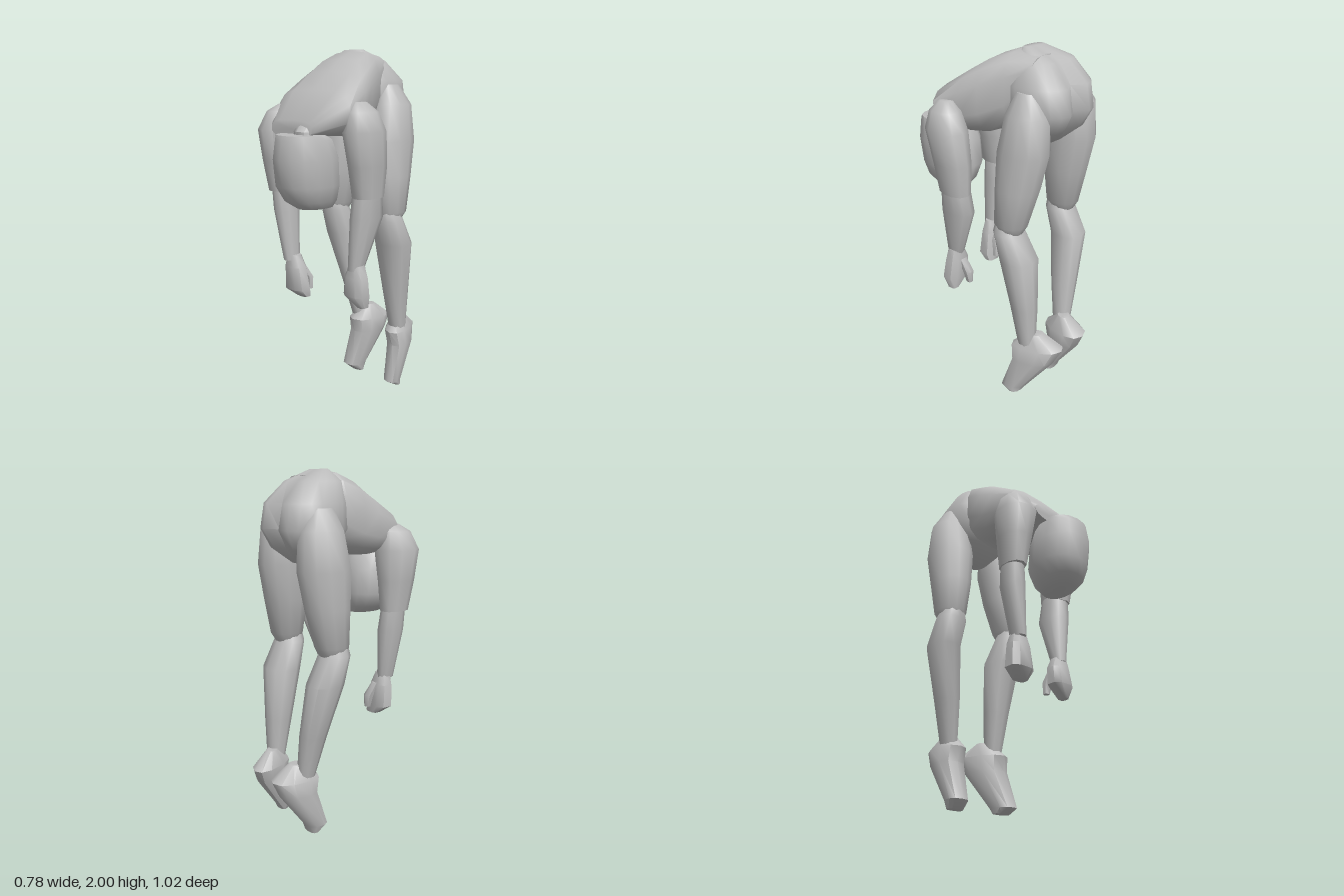
import * as THREE from 'three';
import { toCreasedNormals } from 'three/addons/utils/BufferGeometryUtils.js';

const skin = new THREE.MeshStandardMaterial({ color: 0xbcbcbc });
skin.name = 'plain grey';

// Skins a row of rounded cross-sections [x, y, z, halfWidth, halfDepth].
// Level sections run downwards; upright sections run towards +z.
function loft(name, sections, { sides = 10, power = 2.3, upright = false, crease = 0.9, shape = null } = {}) {
  const pos = [], index = [];
  const round = (v) => Math.sign(v) * Math.abs(v) ** (2 / power);
  for (const [x, y, z, a, b] of sections) {
    for (let j = 0; j < sides; j++) {
      const t = ((j + 0.5) / sides) * Math.PI * 2;
      const u = a * round(Math.cos(t)), v = b * round(Math.sin(t));
      const p = upright ? [x + u, y + v, z] : [x + u, y, z + v];
      if (shape) shape(p, u, v);
      pos.push(...p);
    }
  }
  const last = sections.length - 1, top = pos.length / 3;
  pos.push(...sections[0].slice(0, 3), ...sections[last].slice(0, 3));
  for (let j = 0; j < sides; j++) {
    const k = (j + 1) % sides;
    for (let i = 0; i < last; i++) {
      const p = i * sides + j, q = i * sides + k;
      index.push(p, q, p + sides, q, q + sides, p + sides);
    }
    index.push(top, k, j, top + 1, last * sides + j, last * sides + k);
  }
  const geo = new THREE.BufferGeometry();
  geo.setAttribute('position', new THREE.Float32BufferAttribute(pos, 3));
  geo.setIndex(index);
  const mesh = new THREE.Mesh(toCreasedNormals(geo, crease), skin);
  mesh.name = name;
  return mesh;
}

export function createModel() {
  const model = new THREE.Group();
  model.name = 'bending figure';
  const add = (...args) => model.add(loft(...args));

  // Chest and back, bent forward, with the left shoulder drawn back
  add('torso', [
    [-0.04, 1.87, -0.25, 0.12, 0.1],
    [-0.055, 1.795, -0.12, 0.205, 0.2],
    [-0.02, 1.745, 0, 0.24, 0.205],
    [0.005, 1.71, 0.1, 0.26, 0.175],
    [0.035, 1.67, 0.24, 0.268, 0.12],
    [0.005, 1.59, 0.37, 0.155, 0.045],
  ], { sides: 14, power: 3, upright: true, shape: (p, u) => { p[2] -= 0.07 * u; } });

  // Pelvis with a cleft between the two rear lobes
  add('pelvis', [
    [-0.07, 2.0, -0.15, 0.07, 0.03],
    [-0.09, 1.94, -0.2, 0.16, 0.135],
    [-0.08, 1.83, -0.245, 0.22, 0.195],
    [-0.08, 1.7, -0.25, 0.22, 0.217],
    [-0.08, 1.6, -0.26, 0.185, 0.15],
    [-0.08, 1.52, -0.26, 0.06, 0.06],
  ], {
    sides: 22, power: 2.4, crease: 1.1,
    shape: (p, u, v) => { if (v < 0) p[2] -= v * 0.3 * Math.exp(-((u / 0.05) ** 2)); },
  });

  // Neck and hanging head, crown downwards
  add('neck', [
    [0.07, 1.66, 0.24, 0.07, 0.07],
    [0.085, 1.58, 0.31, 0.065, 0.09],
    [0.08, 1.45, 0.3, 0.075, 0.08],
  ]);
  add('head', [
    [0.08, 1.565, 0.37, 0.135, 0.115],
    [0.08, 1.54, 0.35, 0.145, 0.145],
    [0.08, 1.44, 0.335, 0.158, 0.175],
    [0.075, 1.3, 0.32, 0.156, 0.172],
    [0.09, 1.22, 0.31, 0.12, 0.147],
    [0.105, 1.18, 0.295, 0.075, 0.105],
  ], { sides: 14, power: 2.25 });

  // Right arm
  add('right upper arm', [
    [-0.19, 1.71, 0.25, 0.03, 0.04],
    [-0.205, 1.67, 0.26, 0.075, 0.09],
    [-0.21, 1.57, 0.275, 0.108, 0.125],
    [-0.215, 1.4, 0.27, 0.085, 0.105],
    [-0.215, 1.23, 0.26, 0.06, 0.085],
  ]);
  add('right forearm', [
    [-0.215, 1.26, 0.255, 0.055, 0.07],
    [-0.205, 1.12, 0.245, 0.06, 0.075],
    [-0.165, 0.83, 0.245, 0.033, 0.05],
  ]);
  add('right hand', [
    [-0.155, 0.86, 0.235, 0.04, 0.035],
    [-0.15, 0.79, 0.23, 0.065, 0.05],
    [-0.14, 0.66, 0.225, 0.08, 0.058],
    [-0.115, 0.615, 0.2, 0.045, 0.03],
  ], { sides: 8, power: 2.8 });
  add('right thumb', [
    [-0.14, 0.8, 0.2, 0.025, 0.025],
    [-0.12, 0.72, 0.16, 0.03, 0.025],
    [-0.11, 0.65, 0.16, 0.018, 0.018],
  ], { sides: 6 });

  // Left arm
  add('left upper arm', [
    [0.28, 1.73, 0.14, 0.03, 0.04],
    [0.295, 1.68, 0.135, 0.07, 0.09],
    [0.3, 1.58, 0.125, 0.092, 0.125],
    [0.295, 1.4, 0.095, 0.08, 0.115],
    [0.29, 1.23, 0.085, 0.065, 0.095],
  ]);
  add('left forearm', [
    [0.285, 1.26, 0.085, 0.065, 0.085],
    [0.275, 1.12, 0.08, 0.068, 0.1],
    [0.25, 0.83, 0.135, 0.038, 0.045],
  ]);
  add('left hand', [
    [0.255, 0.86, 0.13, 0.04, 0.04],
    [0.25, 0.79, 0.13, 0.068, 0.05],
    [0.257, 0.69, 0.135, 0.077, 0.055],
    [0.295, 0.625, 0.12, 0.025, 0.03],
  ], { sides: 8, power: 2.8 });
  add('left thumb', [
    [0.24, 0.8, 0.1, 0.025, 0.025],
    [0.23, 0.72, 0.06, 0.03, 0.025],
    [0.22, 0.65, 0.06, 0.018, 0.018],
  ], { sides: 6 });

  // Legs: each pair holds the right and left centre in x, or half width
  for (const [s, side] of ['right', 'left'].entries()) {
    const at = (xs, y, z, widths, depth) => [xs[s], y, z, widths[s], depth];
    add(`${side} thigh`, [
      at([-0.25, 0.1], 1.81, -0.26, [0.06, 0.05], 0.065),
      at([-0.26, 0.11], 1.7, -0.27, [0.112, 0.108], 0.12),
      at([-0.265, 0.125], 1.5, -0.255, [0.128, 0.12], 0.148),
      at([-0.265, 0.142], 1.3, -0.235, [0.112, 0.112], 0.125),
      at([-0.275, 0.168], 1.1, -0.215, [0.088, 0.088], 0.095),
      at([-0.275, 0.168], 1.05, -0.215, [0.06, 0.06], 0.065),
    ], { sides: 12, power: 2.1 });
    add(`${side} calf`, [
      at([-0.275, 0.17], 1.12, -0.19, [0.06, 0.06], 0.06),
      at([-0.278, 0.168], 1.05, -0.2, [0.087, 0.09], 0.08),
      at([-0.28, 0.158], 0.9, -0.26, [0.092, 0.108], 0.1),
      at([-0.215, 0.148], 0.6, -0.295, [0.067, 0.072], 0.075),
      at([-0.175, 0.145], 0.36, -0.318, [0.045, 0.047], 0.05),
    ]);
    // The left foot is turned outwards
    const turn = [-0.08, 0.35][s];
    add(`${side} foot`, [
      at([-0.14, 0.115], 0.43, -0.36, [0.035, 0.035], 0.035),
      at([-0.145, 0.113], 0.345, -0.37, [0.084, 0.078], 0.138),
      at([-0.15, 0.13], 0.26, -0.36, [0.083, 0.078], 0.11),
      at([-0.16, 0.172], 0.05, -0.252, [0.065, 0.056], 0.064),
      at([-0.155, 0.17], [0.005, 0.02][s], -0.27, [0.05, 0.05], 0.028),
    ], { sides: 10, power: 2.4, crease: 0.8, shape: (p, u, v) => { p[0] += turn * v; } });
  }
  return model;
}
